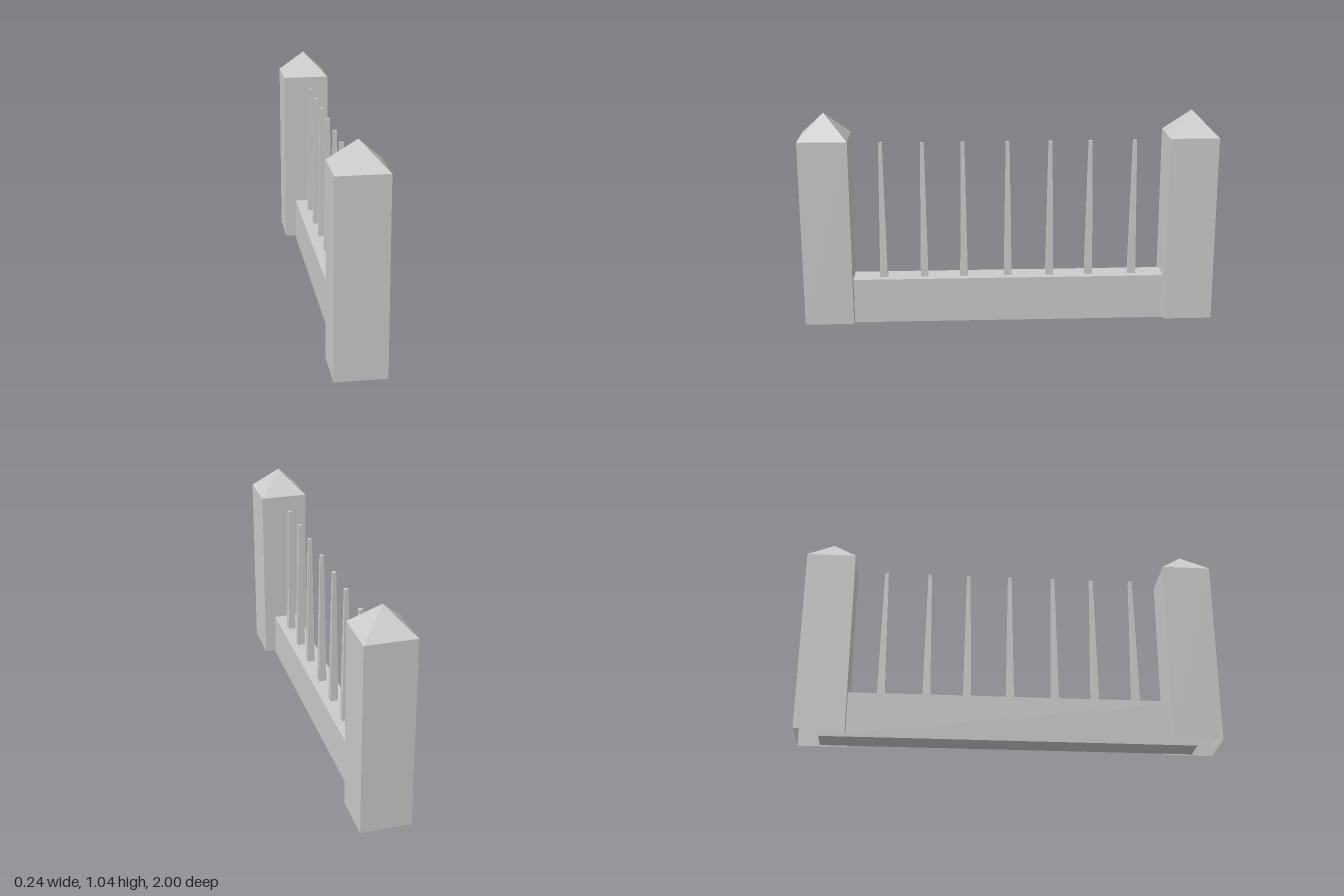
import * as THREE from 'three';

const material = new THREE.MeshStandardMaterial({ color: 0xcccccc, flatShading: true, side: THREE.DoubleSide });

// Square prism or frustum aligned with the axes, standing on y = 0
function squareTaper(topWidth, bottomWidth, height, open = false) {
  const g = new THREE.CylinderGeometry(topWidth * Math.SQRT1_2, bottomWidth * Math.SQRT1_2, height, 4, 1, open);
  return g.rotateY(Math.PI / 4).translate(0, height / 2, 0);
}

function addPart(parent, name, geometry, x, y, z) {
  const mesh = new THREE.Mesh(geometry, material);
  mesh.name = name;
  mesh.position.set(x, y, z);
  parent.add(mesh);
}

export function createModel() {
  const model = new THREE.Group();
  model.name = 'fenceSection';

  // Low wall, its ends reaching to the middle of each post
  addPart(model, 'baseWall', new THREE.BoxGeometry(0.124, 0.222, 1.776), 0, 0.111, 0);

  // Hollow end posts, open underneath, with pyramid caps
  const width = 0.236, bottom = 0.014, top = 0.926;
  for (const side of [1, -1]) {
    const post = new THREE.Group();
    post.name = side > 0 ? 'frontPost' : 'backPost';
    post.position.z = side * (1 - width / 2);
    addPart(post, 'postShaft', squareTaper(width, width, top - bottom, true), 0, bottom, 0);
    const cap = new THREE.ConeGeometry(width * Math.SQRT1_2, 0.118, 4, 1, true).rotateY(Math.PI / 4);
    addPart(post, 'postCap', cap, 0, top + 0.059, 0);
    model.add(post);
  }

  // Slightly unevenly spaced tapered pickets
  const picket = squareTaper(0.018, 0.038, 0.675);
  for (const z of [0.617, 0.417, 0.222, 0.005, -0.202, -0.396, -0.612]) {
    addPart(model, 'picket', picket, 0.006, 0.222, z);
  }
  return model;
}
